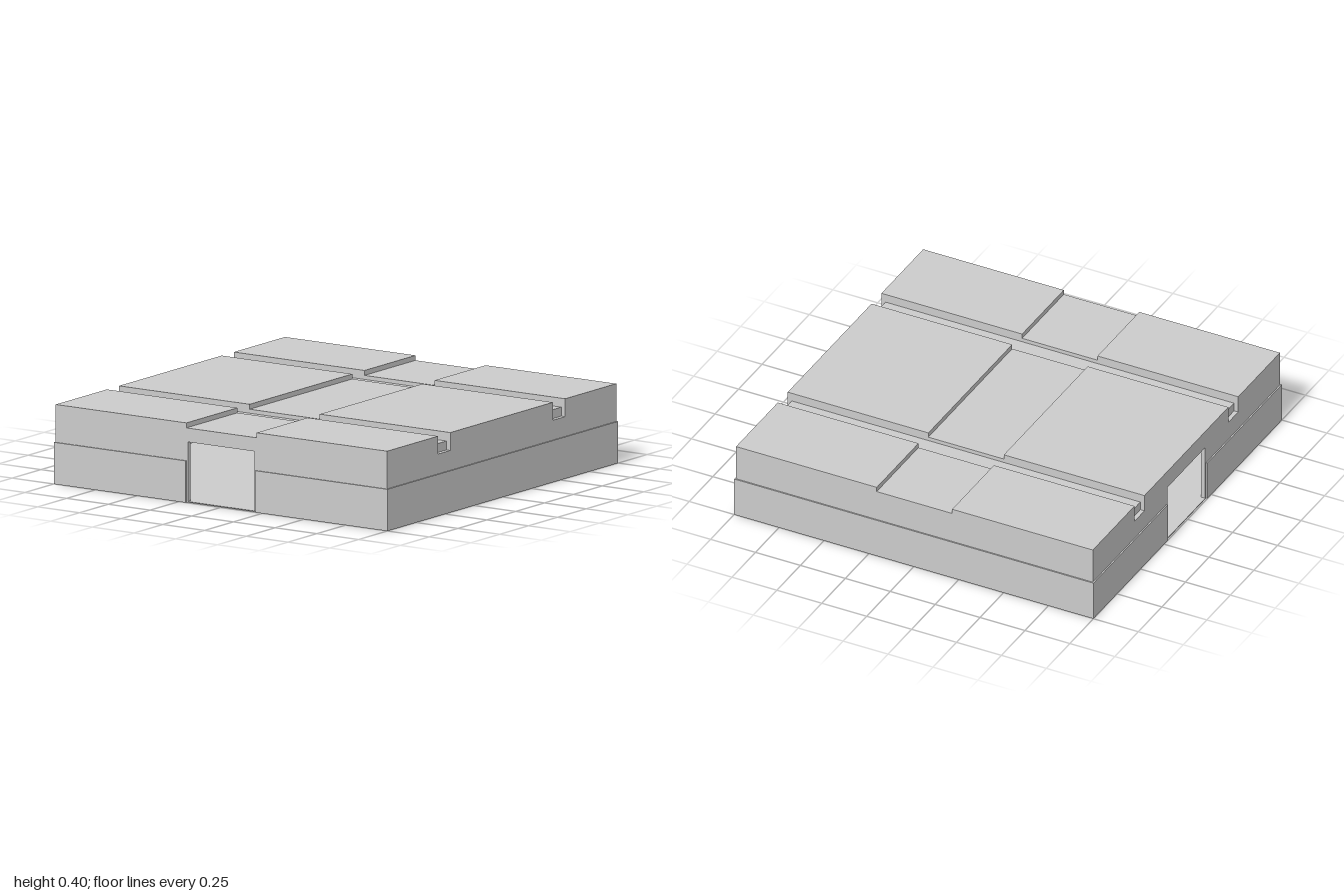
import * as THREE from 'three';

const material = new THREE.MeshStandardMaterial({ color: 0xcccccc, flatShading: true });
const BODY = 0.993;   // half width of the hollow body
const INNER = 0.97;   // half width of the inside space
const EAVE = 0.31;    // top of walls, underside of roof

function addMesh(parent, name, geometry) {
  const mesh = new THREE.Mesh(geometry, material);
  mesh.name = name;
  parent.add(mesh);
  return mesh;
}

function addBox(parent, name, [x0, x1], [y0, y1], [z0, z1]) {
  const mesh = addMesh(parent, name, new THREE.BoxGeometry(x1 - x0, y1 - y0, z1 - z0));
  mesh.position.set((x0 + x1) / 2, (y0 + y1) / 2, (z0 + z1) / 2);
  return mesh;
}

// Extrude an outline of x, y points between two z values
function addProfile(parent, name, points, z0, z1) {
  const shape = new THREE.Shape(points.map(([x, y]) => new THREE.Vector2(x, y)));
  const geometry = new THREE.ExtrudeGeometry(shape, { depth: z1 - z0, bevelEnabled: false });
  geometry.translate(0, 0, z0);
  return addMesh(parent, name, geometry);
}

// One side: a wall and an outer band, both cut for the doorway when there is one
function createSide(name, hasDoor, half) {
  const side = new THREE.Group();
  side.name = name;
  if (hasDoor) {
    addProfile(side, 'wallWithDoorway', [
      [-half, 0], [-0.2, 0], [-0.2, 0.305], [0.2, 0.305],
      [0.2, 0], [half, 0], [half, EAVE], [-half, EAVE],
    ], INNER, BODY);
    for (const s of [-1, 1]) {
      const span = s < 0 ? [-1, -0.21] : [0.21, 1];
      addBox(side, 'lowerBand', span, [0, 0.21], [BODY, 1]);
    }
  } else {
    addBox(side, 'wall', [-half, half], [0, EAVE], [INNER, BODY]);
    addBox(side, 'lowerBand', [-1, 1], [0, 0.21], [BODY, 1]);
  }
  return side;
}

export function createModel() {
  const model = new THREE.Group();
  model.name = 'hollowTile';

  // Thin floor, seen through the doorways
  addBox(model, 'floor', [-BODY, BODY], [0, 0.005], [-BODY, BODY]);

  // Four sides; doorways at the front and on the -x side
  const sides = [
    ['frontSide', true, 0, BODY],
    ['leftSide', false, Math.PI / 2, INNER],
    ['backSide', false, Math.PI, BODY],
    ['rightSide', true, -Math.PI / 2, INNER],
  ];
  for (const [name, hasDoor, angle, half] of sides) {
    const side = createSide(name, hasDoor, half);
    side.rotation.y = angle;
    model.add(side);
  }

  // Roof slabs with a shallow channel running front to back
  const slab = [
    [-BODY, EAVE], [BODY, EAVE], [BODY, 0.4], [0.21, 0.4],
    [0.21, 0.375], [-0.21, 0.375], [-0.21, 0.4], [-BODY, 0.4],
  ];
  for (const [z0, z1] of [[-BODY, -0.55], [-0.445, 0.445], [0.55, BODY]]) {
    addProfile(model, 'roofSlab', slab, z0, z1);
  }

  // Cross groove floors, ending short of the notched side walls
  for (const [z0, z1] of [[-0.55, -0.445], [0.445, 0.55]]) {
    addBox(model, 'grooveFloor', [-INNER, INNER], [EAVE, 0.355], [z0, z1]);
  }
  return model;
}
